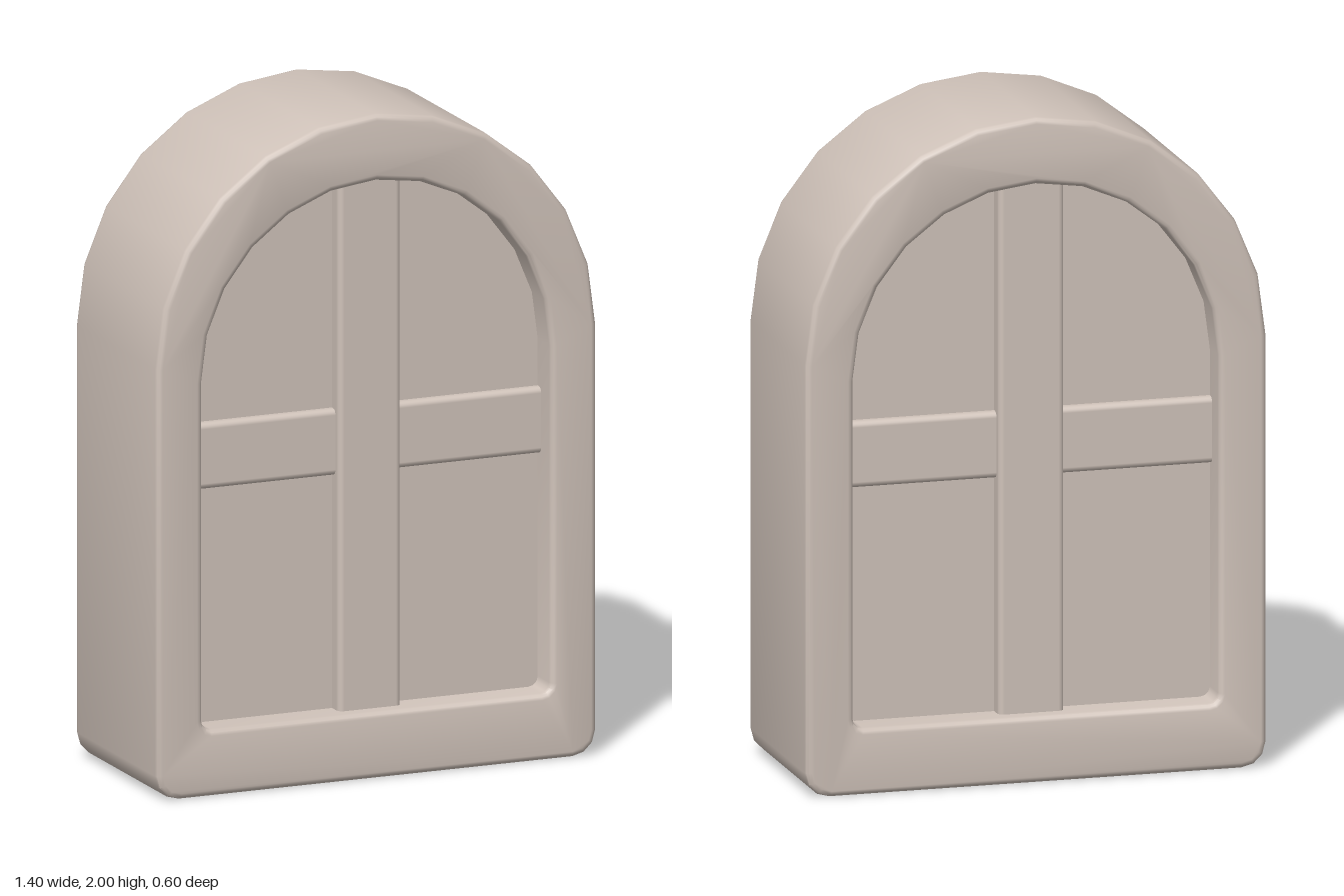
import * as THREE from 'three';
import { toCreasedNormals } from 'three/addons/utils/BufferGeometryUtils.js';
import { RoundedBoxGeometry } from 'three/addons/geometries/RoundedBoxGeometry.js';

// Outline with a round top and softened lower corners, counter-clockwise
function archPoints(halfWidth, bottom, springY, corner) {
  const points = [];
  const arc = (cx, cy, r, start, end, steps) => {
    for (let i = 0; i <= steps; i++) {
      const a = THREE.MathUtils.degToRad(start + (end - start) * i / steps);
      points.push(new THREE.Vector2(cx + r * Math.cos(a), cy + r * Math.sin(a)));
    }
  };
  arc(-halfWidth + corner, bottom + corner, corner, 180, 270, 3);
  arc(halfWidth - corner, bottom + corner, corner, 270, 360, 3);
  arc(0, springY, halfWidth, 0, 180, 12);
  return points;
}

export function createModel() {
  const group = new THREE.Group();
  group.name = 'archedWindow';
  const stone = new THREE.MeshStandardMaterial({ color: 0xcfc2b9 });
  stone.name = 'warm stone';

  const add = (name, geometry, x = 0, y = 0, z = 0) => {
    const mesh = new THREE.Mesh(geometry, stone);
    mesh.name = name;
    mesh.position.set(x, y, z);
    group.add(mesh);
  };

  // Frame: arch with an arched opening and softened edges
  const depth = 0.6, bevel = 0.018;
  const frameShape = new THREE.Shape(archPoints(0.7, 0, 1.3, 0.075));
  frameShape.holes.push(new THREE.Path(archPoints(0.555, 0.2, 1.245, 0.03)));
  const frame = new THREE.ExtrudeGeometry(frameShape, {
    depth: depth - 2 * bevel,
    bevelThickness: bevel,
    bevelSize: bevel,
    bevelOffset: -bevel,
    bevelSegments: 3,
  });
  frame.translate(0, 0, -depth / 2 + bevel);
  add('frame', toCreasedNormals(frame, 0.6));

  // Recessed panel, tucked slightly into the frame
  const panelShape = new THREE.Shape(archPoints(0.575, 0.18, 1.245, 0.03));
  const panel = new THREE.ExtrudeGeometry(panelShape, { depth: 0.4, bevelEnabled: false });
  panel.translate(0, 0, -0.2);
  add('panel', toCreasedNormals(panel, 0.6));

  // Glazing bars, showing on both faces
  add('verticalBar', new RoundedBoxGeometry(0.2, 1.67, 0.5, 2, 0.018), 0, 1.005, 0);
  for (const side of [-1, 1]) {
    add(side > 0 ? 'leftCrossBar' : 'rightCrossBar',
      new RoundedBoxGeometry(0.52, 0.2, 0.45, 2, 0.018), side * 0.32, 1.005, 0);
  }
  return group;
}
